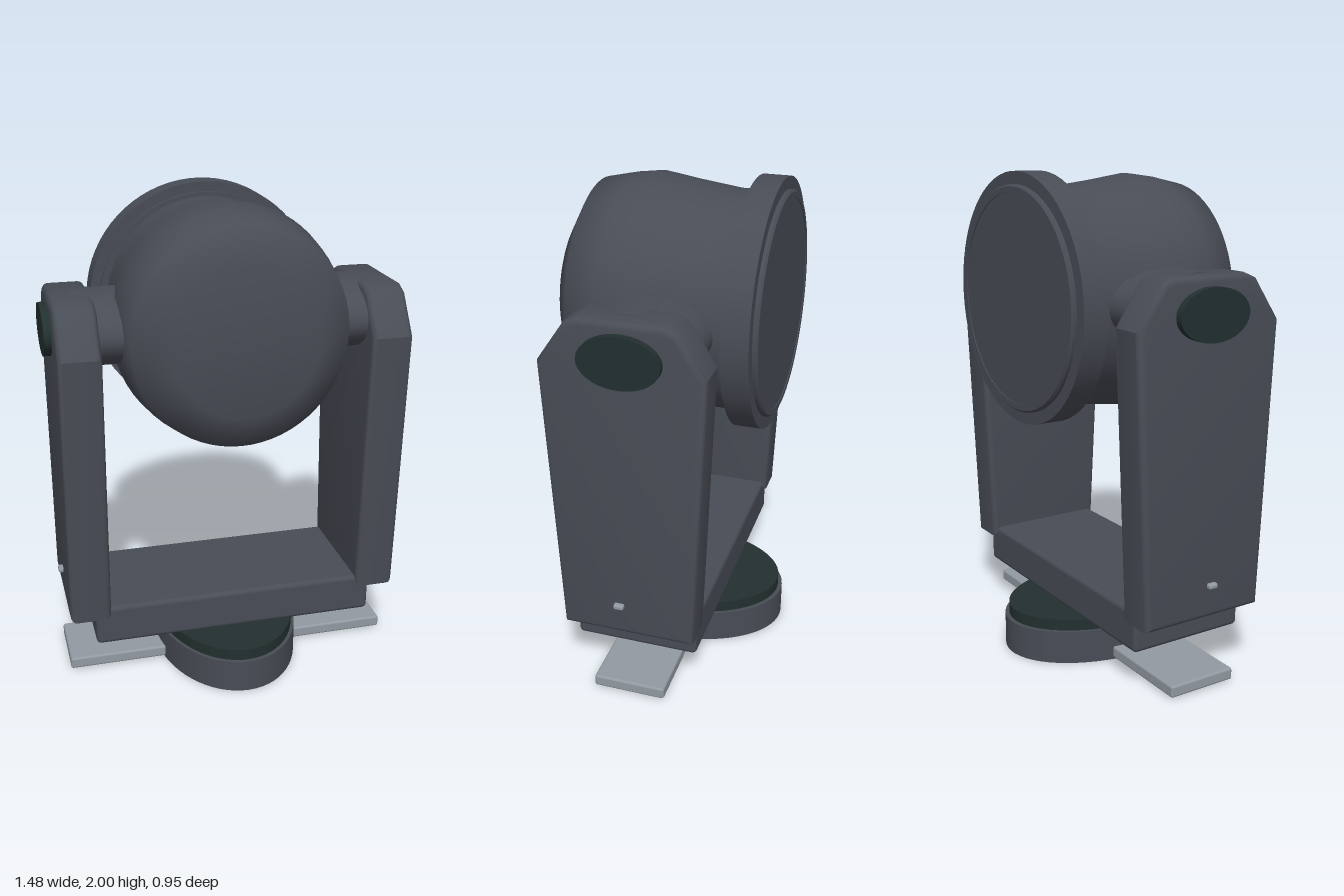
import * as THREE from 'three';
import { toCreasedNormals } from 'three/addons/utils/BufferGeometryUtils.js';
import { RoundedBoxGeometry } from 'three/addons/geometries/RoundedBoxGeometry.js';

function material(name, color) {
  const m = new THREE.MeshStandardMaterial({ color });
  m.name = name;
  return m;
}

export function createModel() {
  const model = new THREE.Group();
  model.name = 'tiltingSpotlight';
  const body = material('slate grey', 0x484c55);
  const dark = material('dark green', 0x22302f);
  const metal = material('light metal', 0x929aa2);

  function add(name, geometry, mat, x = 0, y = 0, z = 0, parent = model) {
    const mesh = new THREE.Mesh(geometry, mat);
    mesh.name = name;
    mesh.position.set(x, y, z);
    parent.add(mesh);
    return mesh;
  }

  // Upright oval disc
  const ovalDisc = (rx, rz, h) => new THREE.CylinderGeometry(1, 1, h, 64).scale(rx, 1, rz);
  // Oval shaft lying along x
  const ovalShaft = (ry, rz, len) =>
    new THREE.CylinderGeometry(1, 1, len, 48).rotateZ(Math.PI / 2).scale(1, ry, rz);
  // Profile of [radius, z] pairs turned about z, listed from back to front
  const turned = (points) =>
    new THREE.LatheGeometry(points.map(([r, z]) => new THREE.Vector2(r, z)), 64).rotateX(Math.PI / 2);

  // Base
  add('base', ovalDisc(0.31, 0.475, 0.14), body, 0, 0.07, 0);
  add('swivelDisc', ovalDisc(0.297, 0.457, 0.05), dark, 0, 0.163, 0);
  add('yokeCrossbar', new RoundedBoxGeometry(1.21, 0.17, 0.51, 3, 0.02), body, 0, 0.264, 0);

  // Tapered yoke arm: side outline swept across its thickness
  const bevel = 0.025;
  const outline = [[0.245, 0.33], [0.29, 1.45], [0.195, 1.6], [0.16, 1.617],
    [-0.16, 1.617], [-0.2, 1.6], [-0.303, 1.45], [-0.245, 0.33]];
  const armGeometry = toCreasedNormals(new THREE.ExtrudeGeometry(
    new THREE.Shape(outline.map(([u, y]) => new THREE.Vector2(u, y))),
    { depth: 0.17 - 2 * bevel, bevelSize: bevel, bevelThickness: bevel, bevelSegments: 4 }
  ).rotateY(Math.PI / 2).translate(-(0.085 - bevel), 0, 0), 0.6);

  for (const s of [-1, 1]) {
    const side = new THREE.Group();
    side.name = s > 0 ? 'leftSide' : 'rightSide';
    model.add(side);
    add('yokeArm', armGeometry, body, s * 0.625, 0, 0, side);
    add('pivotShaft', ovalShaft(0.145, 0.258, 0.23), body, s * 0.515, 1.5, 0, side);
    add('pivotCap', ovalShaft(0.102, 0.158, 0.06), dark, s * 0.71, 1.5, 0, side);
    add('mountingTab', new RoundedBoxGeometry(0.43, 0.05, 0.3, 2, 0.01), metal, s * 0.495, 0.032, 0, side);
    add('pin', new RoundedBoxGeometry(0.04, 0.022, 0.042, 2, 0.008), metal, s * 0.71, 0.44, 0.03, side);
  }

  // Lamp head turned about the z axis
  const head = new THREE.Group();
  head.name = 'lampHead';
  head.position.y = 1.5;
  model.add(head);
  const housing = turned([[0.443, -0.3], [0.44, -0.22], [0.462, -0.05], [0.485, 0.1],
    [0.472, 0.2], [0.445, 0.325], [0.3, 0.405], [0, 0.405]]);
  add('housing', housing.scale(0.975, 1, 1), body, 0, 0, 0, head);
  const disc = (r, h) => new THREE.CylinderGeometry(r, r, h, 72).rotateX(Math.PI / 2);
  add('collar', disc(0.46, 0.03), body, 0, 0, -0.3, head);
  add('rim', disc(0.5, 0.107), body, 0, 0, -0.3585, head);

  // Front glass with a raised border
  const border = toCreasedNormals(turned([[0.42, -0.41], [0.42, -0.432], [0.442, -0.432],
    [0.45, -0.424], [0.45, -0.41]].reverse()), 0.4);
  const borderMesh = add('glassBorder', border, body, 0, 0, 0, head);
  borderMesh.material = body.clone();
  borderMesh.material.side = THREE.DoubleSide;
  add('glass', disc(0.42, 0.03), body, 0, 0, -0.413, head);
  return model;
}
